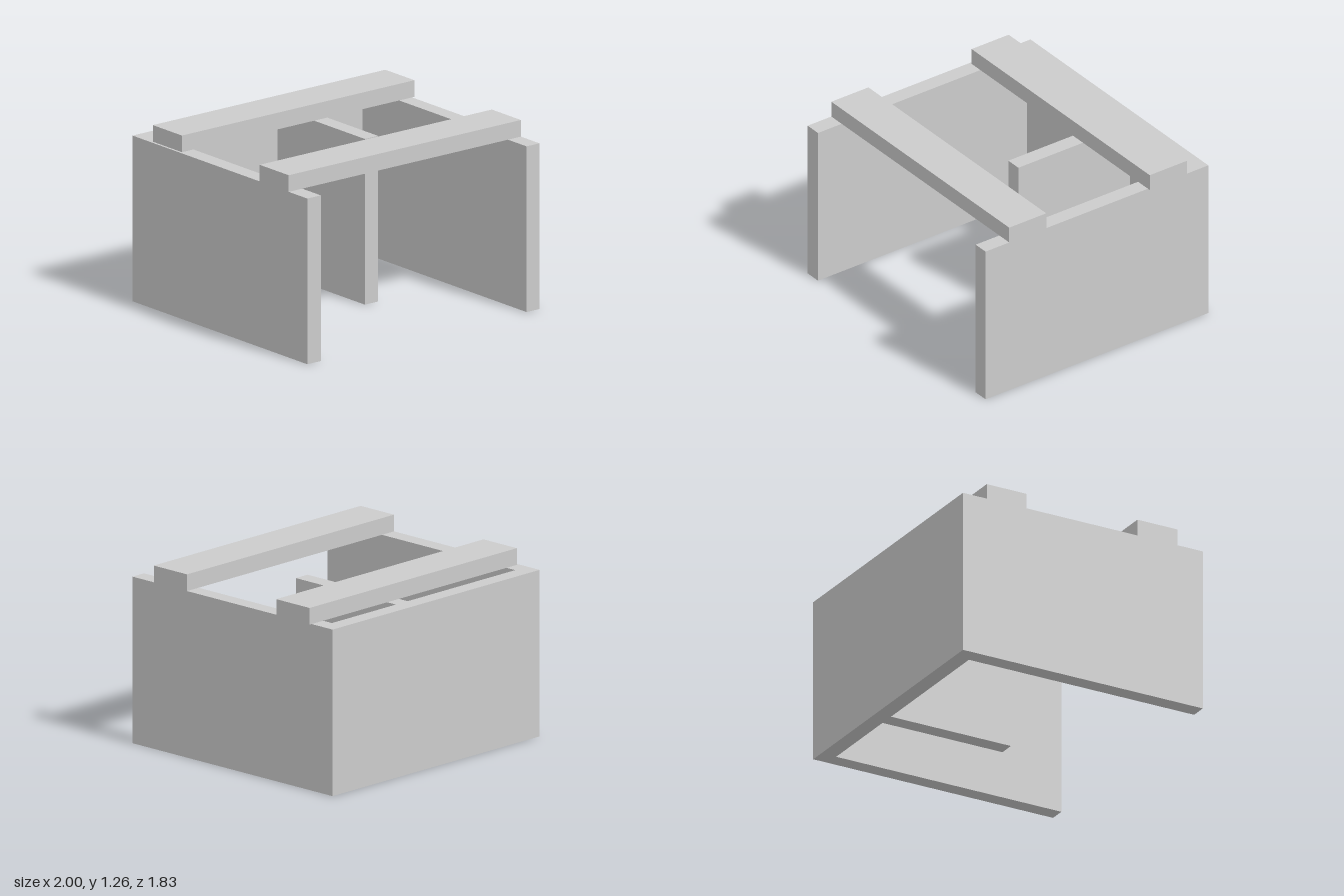
import * as THREE from 'three';

const material = new THREE.MeshStandardMaterial({ color: 0xcccccc, flatShading: true });

// Box given by its extents along each axis
function slab(name, [x0, x1], [y0, y1], [z0, z1]) {
  const mesh = new THREE.Mesh(new THREE.BoxGeometry(x1 - x0, y1 - y0, z1 - z0), material);
  mesh.name = name;
  mesh.position.set((x0 + x1) / 2, (y0 + y1) / 2, (z0 + z1) / 2);
  return mesh;
}

export function createModel() {
  const group = new THREE.Group();
  group.name = 'walledShelter';

  const wallY = [0, 1.147];
  const beamY = [1.147, 1.262];
  const back = -0.917, front = 0.917, backInner = -0.805;

  group.add(
    // Walls: full-width back, two sides and a short divider
    slab('backWall', [-1, 0.98], wallY, [back, backInner]),
    slab('rightWall', [-1, -0.885], wallY, [backInner, front]),
    slab('leftWall', [0.87, 0.98], wallY, [backInner, front]),
    slab('dividerWall', [0.145, 0.257], wallY, [backInner, 0.112]),
    // Roof beams resting on the walls; the back one is shifted sideways
    slab('frontBeam', [-1, 0.98], beamY, [0.417, 0.722]),
    slab('backBeam', [-0.983, 1], beamY, [-0.725, -0.42]),
  );
  return group;
}
